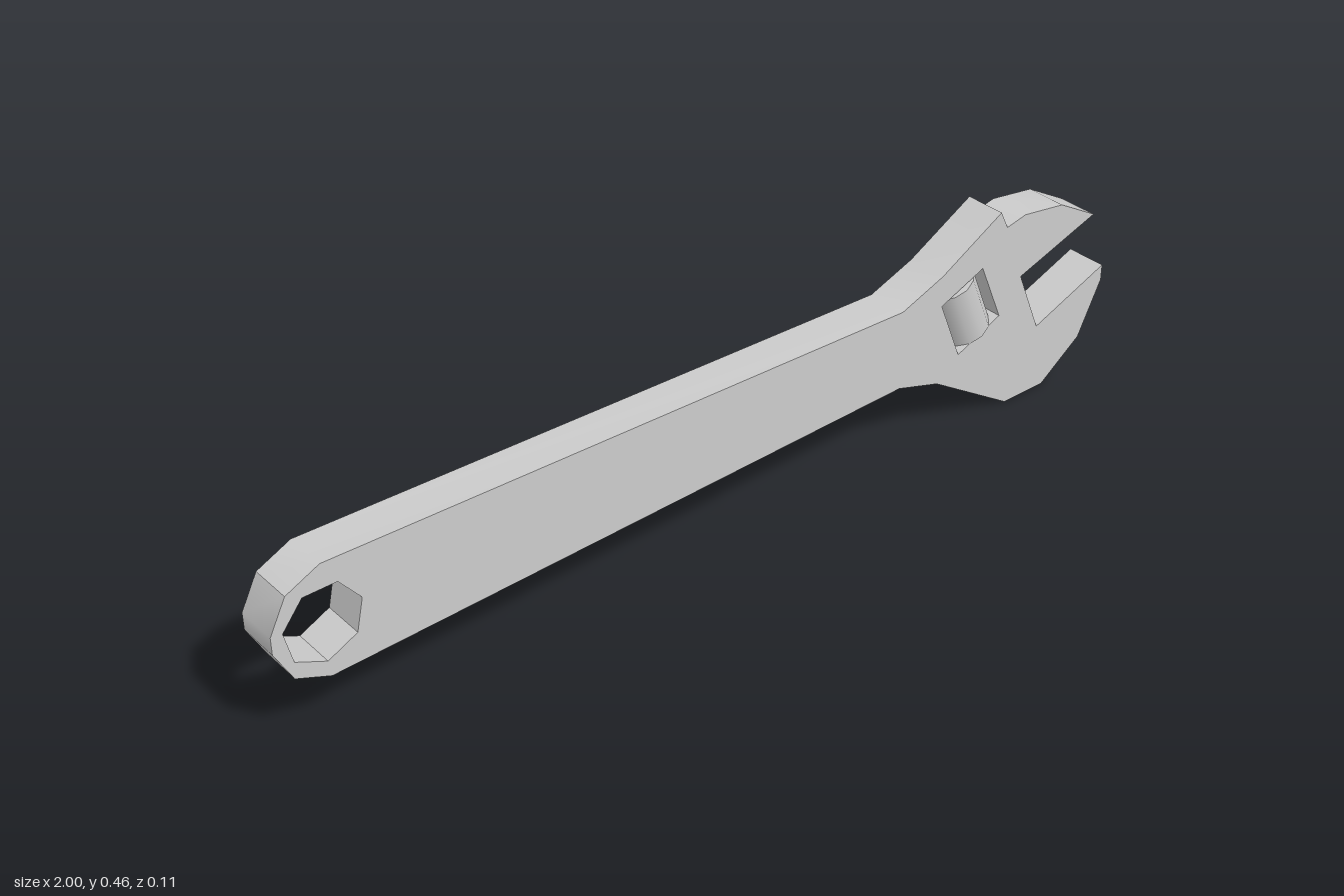
import * as THREE from 'three';
import { toCreasedNormals } from 'three/addons/utils/BufferGeometryUtils.js';

const points = (list) => list.map(([x, y]) => new THREE.Vector2(x, y));

export function createModel() {
  const group = new THREE.Group();
  const material = new THREE.MeshStandardMaterial({ color: 0xcccccc });
  const add = (name, geometry) => {
    const mesh = new THREE.Mesh(geometry, material);
    mesh.name = name;
    group.add(mesh);
    return mesh;
  };

  // Flat body: tapered handle, head, movable upper jaw and fixed lower jaw
  const outline = new THREE.Shape(points([
    // handle end, lower edge and lower jaw
    [-1, 0.228], [-0.965, 0.16], [-0.895, 0.13], [0.42, 0.16], [0.525, 0.128],
    [0.73, 0.005], [0.84, 0.005], [0.943, 0.075], [1, 0.192], [1, 0.227],
    // jaw opening
    [0.81, 0.152], [0.75, 0.292], [0.957, 0.362],
    // upper jaw, prong and upper edge
    [0.857, 0.418], [0.75, 0.433], [0.70, 0.422], [0.68, 0.462], [0.525, 0.375],
    [0.42, 0.335], [-0.895, 0.365], [-0.965, 0.332], [-1, 0.264],
  ].map(([x, y]) => [x, Math.max(0, y - (y < 0.01 ? 0.005 : 0))])));

  // Seven-sided hanging hole
  const hole = [];
  for (let i = 0; i < 7; i++) {
    const a = -Math.PI / 2 - (i * 2 * Math.PI) / 7;
    hole.push([-0.9 + 0.079 * Math.cos(a), 0.243 + 0.079 * Math.sin(a)]);
  }
  outline.holes.push(new THREE.Path(points(hole)));

  // Tilted window for the adjusting screw
  outline.holes.push(new THREE.Path(points([
    [0.527, 0.307], [0.637, 0.352], [0.694, 0.222], [0.582, 0.174],
  ])));

  const body = new THREE.ExtrudeGeometry(outline, { depth: 0.089, bevelEnabled: false });
  body.translate(0, 0, -0.0435);
  add('body', toCreasedNormals(body, 0.65));

  // Adjusting screw, lying in the window along its long side
  const screw = add('adjustingScrew', new THREE.CylinderGeometry(0.0545, 0.0545, 0.137, 12));
  screw.position.set(0.612, 0.262, 0);
  screw.rotation.z = Math.atan2(0.385, 0.92);

  return group;
}
